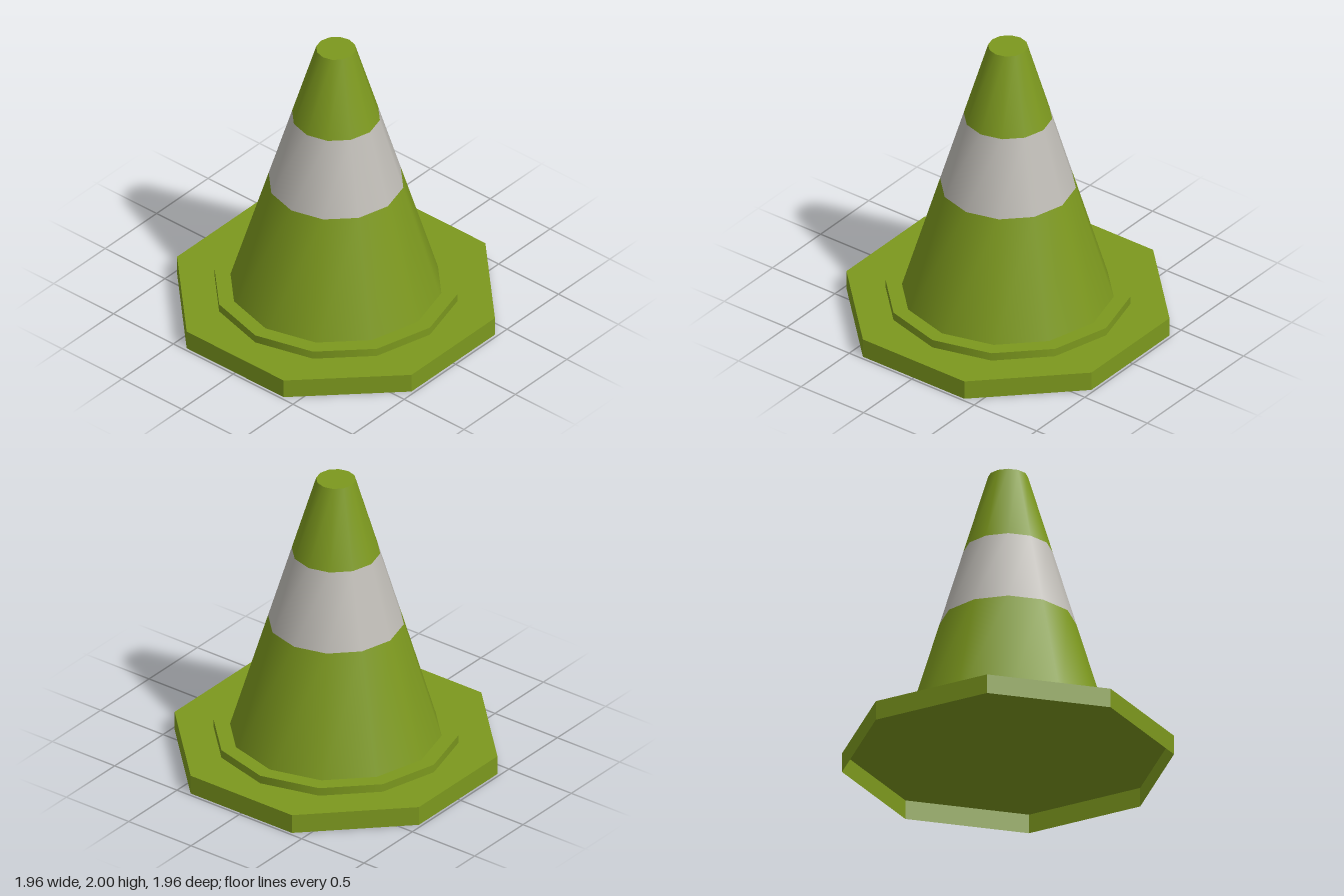
import * as THREE from 'three';
import { mergeGeometries } from 'three/addons/utils/BufferGeometryUtils.js';

const SIDES = 12;
const BASE_TOP = 0.13, RIM_TOP = 0.185, TOP = 2;
const CONE_BOTTOM_R = 0.685, CONE_TOP_R = 0.127;

// Cone radius at height y
const radiusAt = (y) =>
  THREE.MathUtils.mapLinear(y, BASE_TOP, TOP, CONE_BOTTOM_R, CONE_TOP_R);

// Horizontal disc facing up at height y
const disc = (radius, sides, y) =>
  new THREE.CircleGeometry(radius, sides).rotateX(-Math.PI / 2).translate(0, y, 0);

export function createModel() {
  const green = new THREE.MeshStandardMaterial({ color: 0x7c981e, side: THREE.DoubleSide });
  green.name = 'olive green';
  const grey = new THREE.MeshStandardMaterial({ color: 0xbebbb5 });
  grey.name = 'light grey';

  const group = new THREE.Group();
  group.name = 'trafficCone';
  const add = (name, geometry, material) => {
    const mesh = new THREE.Mesh(geometry, material);
    mesh.name = name;
    group.add(mesh);
  };

  // Octagonal foot, hollow underneath, with flat sides facing the axes
  const footRadius = 0.98 / Math.cos(Math.PI / 8);
  const footWall = new THREE.CylinderGeometry(footRadius, footRadius, BASE_TOP, 8, 1, true)
    .rotateY(Math.PI / 8)
    .translate(0, BASE_TOP / 2, 0)
    .toNonIndexed();
  footWall.computeVertexNormals();
  add('footWall', footWall, green);
  add('footTop', disc(footRadius, 8, BASE_TOP).rotateY(Math.PI / 8), green);

  // Raised rim: thin outer wall and flat top, open towards the cone
  const rimProfile = [
    [0.785, BASE_TOP], [0.785, RIM_TOP], [CONE_BOTTOM_R, RIM_TOP],
  ].map(([r, y]) => new THREE.Vector2(r, y));
  const rimFaces = [0, 1].map((i) =>
    new THREE.LatheGeometry(rimProfile.slice(i, i + 2), SIDES));
  add('rim', mergeGeometries(rimFaces), green);

  // Cone body in three stacked bands
  const bands = [
    ['lowerCone', BASE_TOP, 0.97, green],
    ['reflectiveBand', 0.97, 1.477, grey],
    ['upperCone', 1.477, TOP, green],
  ];
  for (const [name, y0, y1, material] of bands) {
    const band = new THREE.CylinderGeometry(
      radiusAt(y1), radiusAt(y0), y1 - y0, SIDES, 1, true);
    add(name, band.translate(0, (y0 + y1) / 2, 0), material);
  }

  // Flat tip
  add('tip', disc(CONE_TOP_R, SIDES, TOP), green);

  return group;
}
